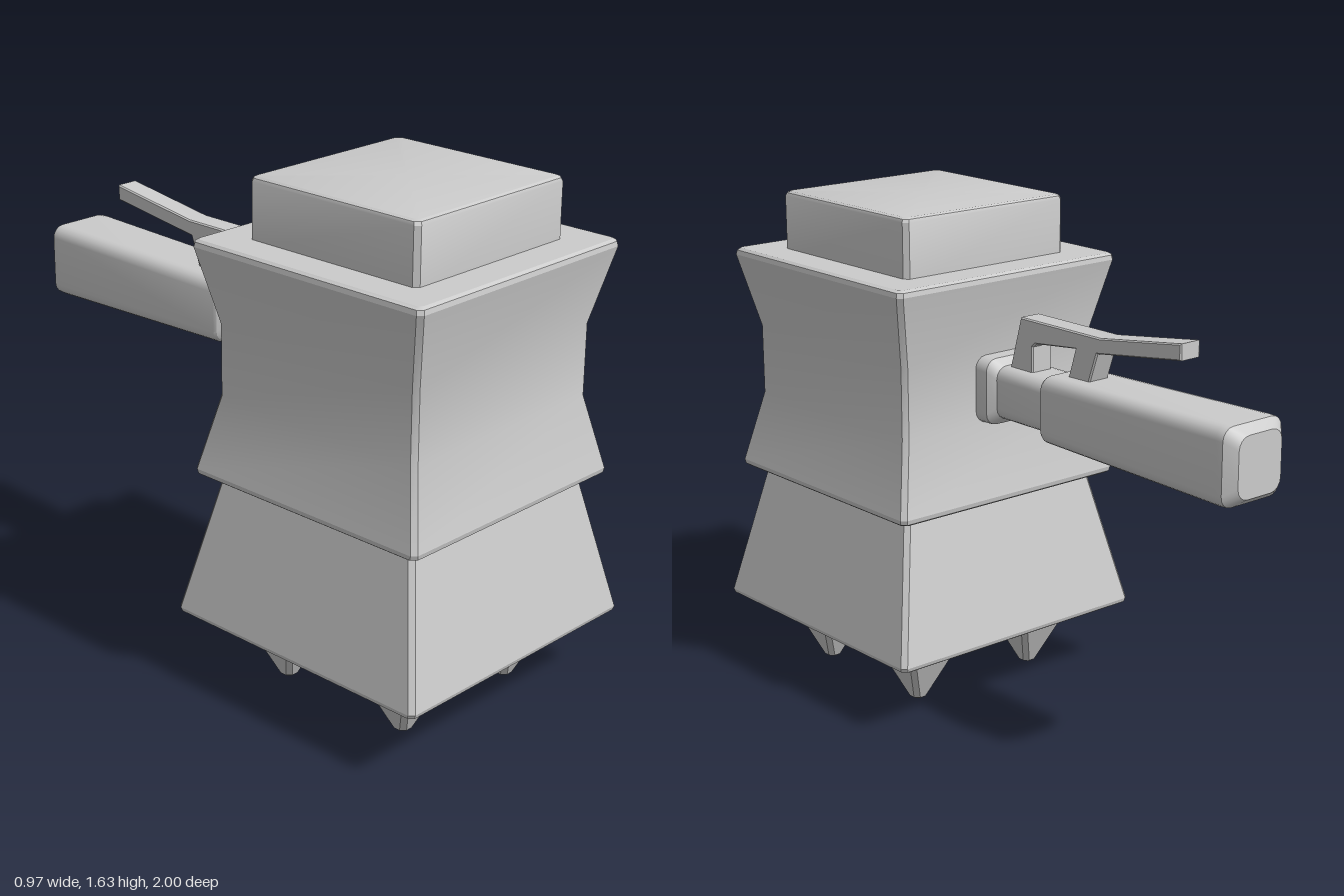
import * as THREE from 'three';
import { toCreasedNormals } from 'three/addons/utils/BufferGeometryUtils.js';

const material = new THREE.MeshStandardMaterial({ color: 0xcccccc });
const BODY_Z = 0.513;

// Lofts rounded rectangles along +z; sections are [z, halfWidth, halfHeight], in rising z.
function loft(sections, radius, steps) {
  const pos = [], index = [], n = 4 * (steps + 1);
  for (const [z, hx, hy = hx] of sections) {
    const r = Math.min(radius, hx * 0.6, hy * 0.6);
    for (let c = 0; c < 4; c++) {
      const sx = c === 0 || c === 3 ? 1 : -1, sy = c < 2 ? 1 : -1;
      for (let s = 0; s <= steps; s++) {
        const a = (c + s / steps) * Math.PI / 2;
        pos.push(sx * (hx - r) + r * Math.cos(a), sy * (hy - r) + r * Math.sin(a), z);
      }
    }
  }
  const last = (sections.length - 1) * n, centre = sections.length * n;
  pos.push(0, 0, sections[0][0], 0, 0, sections[sections.length - 1][0]);
  for (let i = 0; i < n; i++) {
    const j = (i + 1) % n;
    for (let k = 0; k < last; k += n) {
      index.push(k + i, k + j, k + n + j, k + i, k + n + j, k + n + i);
    }
    index.push(centre, j, i, centre + 1, last + i, last + j);
  }
  const g = new THREE.BufferGeometry();
  g.setAttribute('position', new THREE.Float32BufferAttribute(pos, 3));
  g.setIndex(index);
  return g;
}

export function createModel() {
  const model = new THREE.Group();
  const add = (name, geometry, x = 0, y = 0, z = 0) => {
    const mesh = new THREE.Mesh(toCreasedNormals(geometry, 0.42), material);
    mesh.name = name;
    mesh.position.set(x, y, z);
    model.add(mesh);
  };
  // Upright square block from [y, halfWidth] sections
  const block = (name, sections, x = 0, z = BODY_Z) =>
    add(name, loft(sections, 0.015, 1).rotateX(-Math.PI / 2), x, 0, z);

  // Stacked body
  block('base', [[0.22, 0.472], [0.227, 0.483], [0.24, 0.487], [0.72, 0.38]]);
  block('waist', [[0.69, 0.433], [0.697, 0.443], [0.712, 0.446], [0.95, 0.391],
    [1.18, 0.391], [1.418, 0.446], [1.433, 0.443], [1.44, 0.433]]);
  block('cap', [[1.42, 0.325], [1.615, 0.325], [1.625, 0.321], [1.63, 0.312]]);

  // Four pointed feet
  for (const x of [-0.24, 0.24]) {
    for (const z of [-0.24, 0.24]) {
      block('foot', [[0, 0.017], [0.006, 0.026], [0.23, 0.122]], x, BODY_Z + z);
    }
  }

  // Handle: grip, narrow neck and collar
  add('handle', loft([
    [-1, 0.088, 0.095], [-0.967, 0.12, 0.12], [-0.94, 0.121, 0.121],
    [-0.195, 0.109, 0.107], [-0.185, 0.105, 0.102], [-0.168, 0.084, 0.086],
    [0.045, 0.084, 0.086], [0.072, 0.104, 0.108], [0.15, 0.106, 0.11],
  ], 0.04, 4), 0, 1.062);

  // Trigger lever on two posts, drawn in (-z, y)
  const outline = [
    [-0.035, 1.13], [0.018, 1.315], [0.377, 1.315], [0.717, 1.363], [0.717, 1.312],
    [0.366, 1.264], [0.326, 1.15], [0.234, 1.15], [0.27, 1.262], [0.088, 1.242],
    [0.074, 1.23], [0.074, 1.13],
  ].map(([u, y]) => new THREE.Vector2(u, y));
  add('lever', new THREE.ExtrudeGeometry(new THREE.Shape(outline), {
    depth: 0.07, bevelThickness: 0.005, bevelSize: 0.004, bevelOffset: -0.004, bevelSegments: 1,
  }).translate(0, 0, -0.035).rotateY(Math.PI / 2));

  return model;
}
